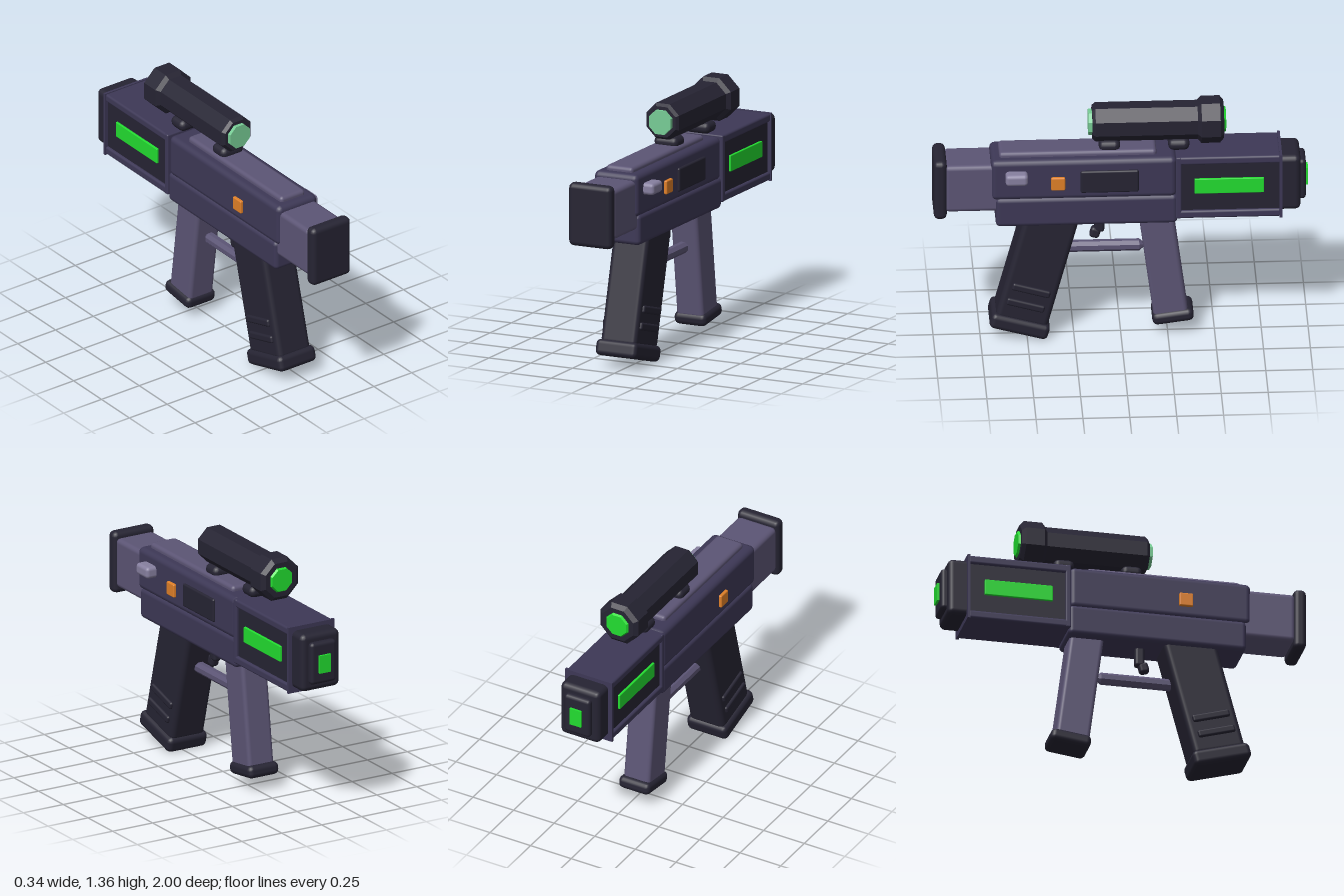
import * as THREE from 'three';
import { RoundedBoxGeometry } from 'three/addons/geometries/RoundedBoxGeometry.js';

const COLORS = {
  body: 0x3d3856, dark: 0x262433, light: 0x5c5575, pale: 0x8780a0,
  orange: 0xe08028, green: 0x22dd30, lens: 0x77cc95,
};

export function createModel() {
  const model = new THREE.Group();
  model.name = 'blaster';
  const gun = new THREE.Group();
  gun.name = 'blasterParts';
  gun.position.x = -0.024;
  model.add(gun);

  const materials = {};
  function material(color, flatShading) {
    const key = color + flatShading;
    materials[key] ??= new THREE.MeshStandardMaterial({ color: COLORS[color], flatShading });
    return materials[key];
  }

  // Box with softly rounded edges (sharp when radius is 0), tilted about x in degrees
  function box(name, color, [w, h, d], [x, y, z], radius = 0, tilt = 0) {
    const geometry = radius
      ? new RoundedBoxGeometry(w, h, d, 2, radius)
      : new THREE.BoxGeometry(w, h, d);
    const mesh = new THREE.Mesh(geometry, material(color, false));
    mesh.name = name;
    mesh.position.set(x, y, z);
    mesh.rotation.x = THREE.MathUtils.degToRad(tilt);
    gun.add(mesh);
  }

  // Eight-sided turned part along z; the profile is [distance to flat, z]
  function octagon(name, color, y, profile) {
    const points = profile.map(([r, z]) => new THREE.Vector2(r / Math.cos(Math.PI / 8), z));
    const geometry = new THREE.LatheGeometry(points, 8, Math.PI / 8);
    geometry.rotateX(Math.PI / 2);
    const mesh = new THREE.Mesh(geometry, material(color, true));
    mesh.name = name;
    mesh.position.y = y;
    gun.add(mesh);
  }

  // Receiver and stock
  box('upperReceiver', 'body', [0.262, 0.235, 0.99], [0, 0.975, 0.2], 0.03);
  box('lowerReceiver', 'body', [0.266, 0.17, 0.97], [0, 0.785, 0.185], 0.025);
  box('topRail', 'light', [0.162, 0.06, 0.84], [0, 1.09, 0.23], 0.02);
  box('stockTube', 'light', [0.236, 0.275, 0.3], [0, 0.925, 0.79], 0.025);
  box('stockPlate', 'dark', [0.256, 0.345, 0.07], [0, 0.92, 0.965], 0.028);

  // Handguard: dark core inside a frame of plates
  box('handguardCore', 'dark', [0.25, 0.33, 0.55], [0, 0.915, -0.57]);
  box('handguardTop', 'body', [0.28, 0.045, 0.56], [0, 1.075, -0.57], 0.012);
  box('handguardBottom', 'body', [0.28, 0.045, 0.56], [0, 0.755, -0.57], 0.012);
  box('handguardRearFrame', 'body', [0.28, 0.365, 0.03], [0, 0.915, -0.305], 0.008);
  box('handguardFrontFlange', 'body', [0.29, 0.372, 0.014], [0, 0.915, -0.85]);

  // Muzzle
  box('muzzle', 'dark', [0.242, 0.322, 0.13], [0, 0.918, -0.892], 0.03);
  box('muzzleTip', 'dark', [0.16, 0.235, 0.07], [0, 0.918, -0.952], 0.02);
  box('muzzleLight', 'green', [0.07, 0.1, 0.04], [0, 0.915, -0.98]);

  // Side details
  for (const side of [-1, 1]) {
    box('sideLight', 'green', [0.02, 0.088, 0.37], [side * 0.127, 0.922, -0.575], 0.004);
    box('sideButton', 'orange', [0.04, 0.075, 0.075], [side * 0.127, 0.958, 0.338], 0.007);
    for (const [y, z] of [[0.305, 0.48], [0.218, 0.51]]) {
      box('gripRidge', 'dark', [0.03, 0.042, 0.21], [side * 0.104, y, z], 0.012, -16);
    }
  }
  box('ejectionPort', 'dark', [0.04, 0.13, 0.31], [0.123, 0.965, 0.063], 0.01);
  box('boltHandle', 'pale', [0.08, 0.065, 0.12], [0.15, 1.003, 0.56], 0.02);

  // Rear grip
  box('rearGrip', 'dark', [0.212, 0.68, 0.288], [0, 0.435, 0.446], 0.03, -15);
  box('rearGripBase', 'dark', [0.245, 0.088, 0.322], [0, 0.088, 0.541], 0.028, -15.5);

  // Front handle
  box('frontHandle', 'light', [0.16, 0.62, 0.185], [0, 0.43, -0.226], 0.022, 7.5);
  box('frontHandleBase', 'dark', [0.19, 0.07, 0.222], [0, 0.112, -0.277], 0.028, 7.5);

  // Trigger and connecting bar
  box('trigger', 'dark', [0.05, 0.13, 0.053], [0, 0.665, 0.112], 0.016);
  box('triggerTip', 'dark', [0.05, 0.062, 0.055], [0, 0.595, 0.135], 0.018, -15);
  octagon('connectingBar', 'light', 0.512,
    [[0, -0.125], [0.012, -0.125], [0.03, -0.1], [0.03, 0.28], [0.012, 0.3], [0, 0.3]]);

  // Scope on two mounts
  for (const z of [0.06, -0.31]) {
    box('scopeMount', 'dark', [0.142, 0.064, 0.114], [0, 1.132, z], 0.03);
  }
  octagon('scopeBody', 'dark', 1.255, [
    [0, -0.55], [0.095, -0.55], [0.117, -0.53], [0.117, -0.43], [0.097, -0.41],
    [0.097, 0.135], [0.083, 0.152], [0, 0.152],
  ]);
  octagon('scopeFrontLens', 'green', 1.255, [[0, -0.562], [0.06, -0.562], [0.07, -0.545], [0.07, -0.5]]);
  octagon('scopeRearLens', 'lens', 1.255, [[0.065, 0.1], [0.065, 0.172], [0, 0.172]]);

  return model;
}
